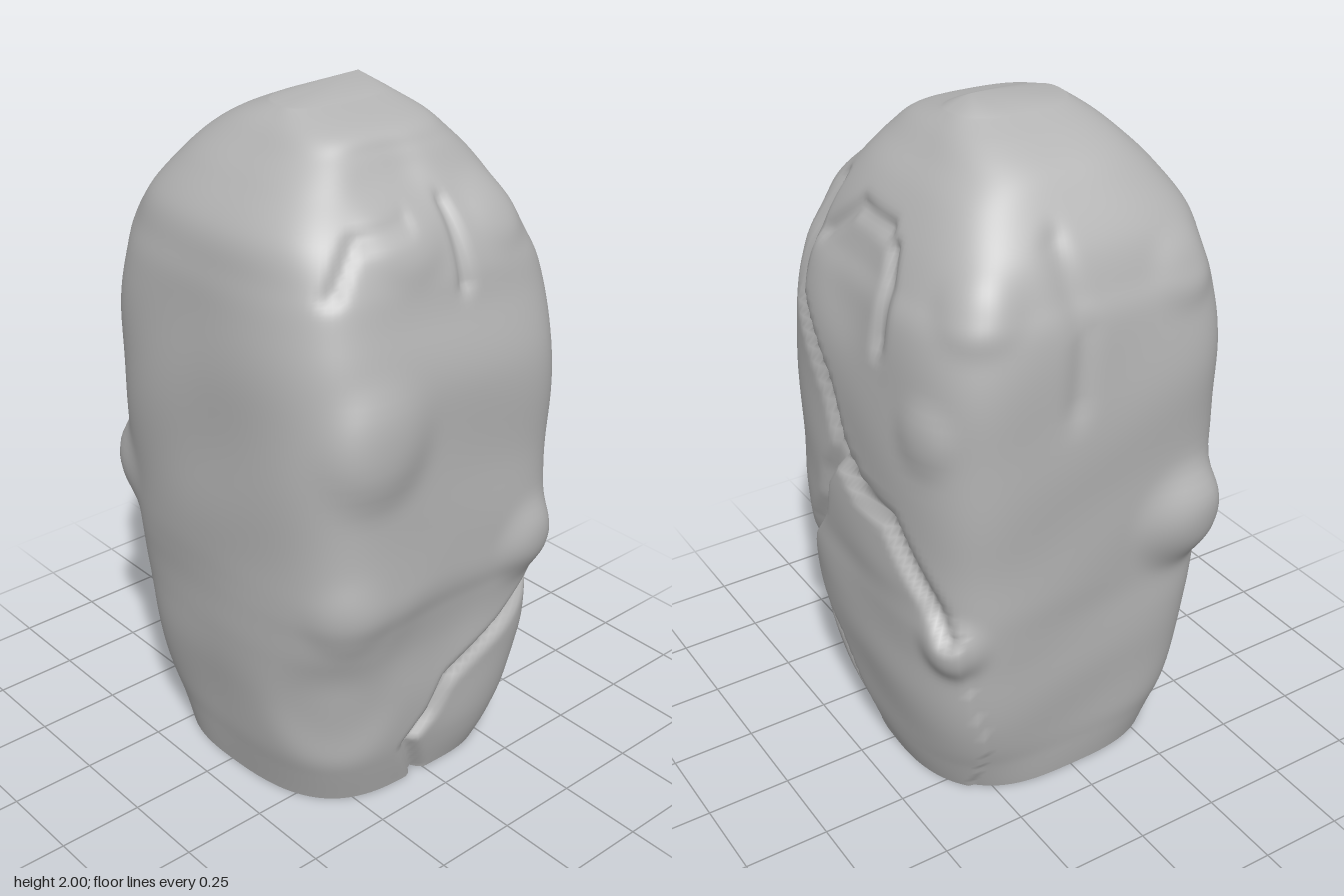
import * as THREE from 'three';

// Cross-sections: height, reach to -x, +x, +z, -z, flatness of front/back, bulge of sides
const ROWS = [
  [0, .405, .375, .405, .39, 3.2, 2.6], [.1, .425, .41, .43, .41, 3.8, 2.6], [.2, .445, .435, .45, .43, 4.5, 2.6],
  [.38, .47, .465, .475, .45, 5.5, 2.6], [.52, .48, .475, .485, .46, 6, 2.6], [.62, .485, .48, .5, .465, 6.3, 2.6],
  [.7, .49, .48, .515, .47, 6.5, 2.6], [.8, .495, .485, .515, .475, 6.5, 2.6], [1, .5, .485, .51, .488, 6.5, 2.6],
  [1.3, .495, .48, .512, .5, 6.5, 2.7], [1.5, .475, .455, .47, .485, 6, 2.9], [1.6, .455, .415, .445, .455, 5.5, 3.2],
  [1.7, .425, .37, .395, .415, 4.8, 3.4], [1.8, .35, .31, .32, .345, 4, 3.4], [1.87, .285, .25, .27, .285, 3.4, 3.2],
  [1.92, .235, .205, .215, .21, 3, 3], [1.96, .18, .16, .08, .12, 2.6, 2.6],
];

// Cracks between the slabs, with depth and width
const CRACKS = [
  { depth: .035, width: .022, pts: [[.38, 1.72, .33], [.43, 1.4, .32], [.46, 1.3, .22], [.47, 1.2, .13], [.48, 1.03, .07], [.47, .9, .16], [.47, .78, .2], [.45, .65, .3], [.44, .56, .35], [.42, .48, .42]] },
  { depth: .03, width: .022, pts: [[.48, 1.03, .07], [.48, .96, -.05], [.48, .94, -.2], [.47, .75, -.36], [.44, .65, -.42]] },
  { depth: .025, width: .022, pts: [[.42, .48, .42], [.46, .3, .2], [.44, .18, .14], [.4, .08, .07]] },
  { depth: .035, width: .022, pts: [[.4, .56, .46], [.22, .45, .48], [.03, .34, .48], [-.02, .24, .46], [-.1, .16, .44], [-.03, 0, .41]] },
  { depth: .02, width: .025, pts: [[.05, 1.74, .38], [.05, 1.55, .46]] },
  { depth: .015, width: .025, pts: [[-.37, 1.6, .42], [-.28, 1.71, .39], [-.1, 1.73, .38]] },
  { depth: .025, width: .025, pts: [[.38, 1.66, -.1], [.42, 1.58, -.13], [.45, 1.43, -.13]] },
  { depth: .02, width: .025, pts: [[.42, 1.6, .25], [.39, 1.71, .12], [.39, 1.7, -.06]] },
  { depth: .015, width: .04, pts: [[.1, 1.72, -.41], [.06, 1.5, -.5], [.08, 1.3, -.51]] },
];

// Knobs and hollows: x, y, z, height, radius
const KNOBS = [
  [-.31, .83, -.46, .075, .14], [.42, .6, -.4, .04, .09], [-.28, 1.2, .51, .035, .15],
  [.3, .72, .51, .035, .11], [-.36, .7, .48, .012, .11], [-.05, .54, .49, -.015, .18], [-.36, .36, .42, -.025, .17],
  [.43, 1.55, .05, -.015, .16], [.45, 1.25, -.34, .02, .09], [.32, 1.6, -.4, .025, .1], [-.28, 1.58, -.42, .02, .1],
  [.2, .15, .43, .012, .17], [-.12, 1.7, .39, .02, .12], [.22, 1.68, .36, .02, .1], [-.08, 1.82, .28, -.02, .12],
];

// Raised slab on the left side, outlined as (z, y)
const SLAB = [[.42, .48], [.35, .56], [.3, .65], [.2, .78], [.16, .9], [.07, 1.03], [-.05, .96], [-.2, .94], [-.36, .75], [-.42, .65], [-.4, 0], [.05, 0], [.07, .08], [.14, .18], [.2, .3]];

function inside(poly, px, py) {
  let hit = false;
  poly.forEach(([ax, ay], i) => {
    const [bx, by] = poly[(i + 1) % poly.length];
    if ((ay > py) !== (by > py) && px < (bx - ax) * (py - ay) / (by - ay) + ax) hit = !hit;
  });
  return hit;
}

// Move a point onto a cylinder, so cracks follow the surface at any depth
function wrap(x, y, z) {
  const k = .5 / Math.hypot(x, z);
  return new THREE.Vector3(x * k, y, z * k);
}

const cracks = CRACKS.map(({ depth, width, pts }) => {
  const v = pts.map(p => wrap(...p));
  return { depth, width, lines: v.slice(1).map((b, i) => new THREE.Line3(v[i], b)) };
});

const near = new THREE.Vector3();
function relief(p) {
  // Uneven weathered surface
  let d = .005 * Math.sin(7 * p.x + 11 * p.y + 2) * Math.sin(9 * p.z - 5 * p.y);
  for (const [x, y, z, h, r] of KNOBS) {
    const q = ((p.x - x) ** 2 + (p.y - y) ** 2 + (p.z - z) ** 2) / (r * r);
    d += h * Math.exp(-q * q * .8 - q * .4);
  }
  const w = wrap(p.x, p.y, p.z);
  let edge = 9;
  for (const c of cracks) {
    let dist = 9;
    for (const l of c.lines) dist = Math.min(dist, l.closestPointToPoint(w, true, near).distanceTo(w));
    d -= c.depth * Math.exp(-((dist / c.width) ** 2));
    edge = Math.min(edge, dist);
  }
  if (p.x > .3 && inside(SLAB, p.z, p.y)) d += .01 * THREE.MathUtils.smoothstep(edge, 0, .04);
  return d;
}

const AROUND = 192, STEPS = 8;

// Smooth blend between neighbouring cross-sections
function section(j, t) {
  const at = k => ROWS[THREE.MathUtils.clamp(k, 0, ROWS.length - 1)];
  const [a, b, c, d] = [at(j - 1), at(j), at(j + 1), at(j + 2)];
  return b.map((v, i) => v + .5 * t * (c[i] - a[i] + t * (2 * a[i] - 5 * v + 4 * c[i] - d[i] + t * (3 * (v - c[i]) + d[i] - a[i]))));
}

// Outline of one level of the rock
function ring([y, xl, xr, zf, zb, m, n]) {
  return Array.from({ length: AROUND }, (_, i) => {
    const t = i / AROUND * Math.PI * 2, c = Math.cos(t), s = Math.sin(t);
    const a = Math.abs(c / (c < 0 ? xl : xr)) ** m, b = Math.abs(s / (s > 0 ? zf : zb)) ** n;
    // Solve a r^m + b r^n = 1 by halving
    let lo = 0, hi = 1;
    for (let k = 0; k < 24; k++) {
      const r = (lo + hi) / 2;
      if (a * r ** m + b * r ** n < 1) lo = r; else hi = r;
    }
    const p = new THREE.Vector3(lo * c, y, lo * s);
    const r = lo + relief(p) * Math.min(1, lo / .3);
    return p.set(r * c, y, r * s);
  });
}

export function createModel() {
  const group = new THREE.Group();
  group.name = 'rock';
  const stone = new THREE.MeshStandardMaterial({ color: 0xb4b4b4 });
  stone.name = 'grey stone';

  // Rock body, lofted level by level
  const rings = [];
  for (let j = 0; j < ROWS.length - 1; j++)
    for (let k = 0; k < STEPS; k++) rings.push(ring(section(j, k / STEPS)));
  rings.push(ring(ROWS[ROWS.length - 1]));

  const points = rings.flat(), index = [];
  points.push(new THREE.Vector3(.1, 2, -.02));
  const apex = points.length - 1;
  for (let j = 0; j < rings.length; j++)
    for (let i = 0; i < AROUND; i++) {
      const a = j * AROUND + i, b = j * AROUND + (i + 1) % AROUND;
      if (j === rings.length - 1) index.push(a, apex, b);
      else index.push(a, a + AROUND, b, b, a + AROUND, b + AROUND);
    }
  const bodyGeo = new THREE.BufferGeometry().setFromPoints(points);
  bodyGeo.setIndex(index);
  bodyGeo.computeVertexNormals();
  const body = new THREE.Mesh(bodyGeo, stone);
  body.name = 'rockBody';

  // Flat underside
  const outline = new THREE.Shape(rings[0].map(p => new THREE.Vector2(p.x, p.z)));
  const base = new THREE.Mesh(new THREE.ShapeGeometry(outline).rotateX(Math.PI / 2), stone);
  base.name = 'flatBase';

  group.add(body, base);
  return group;
}
